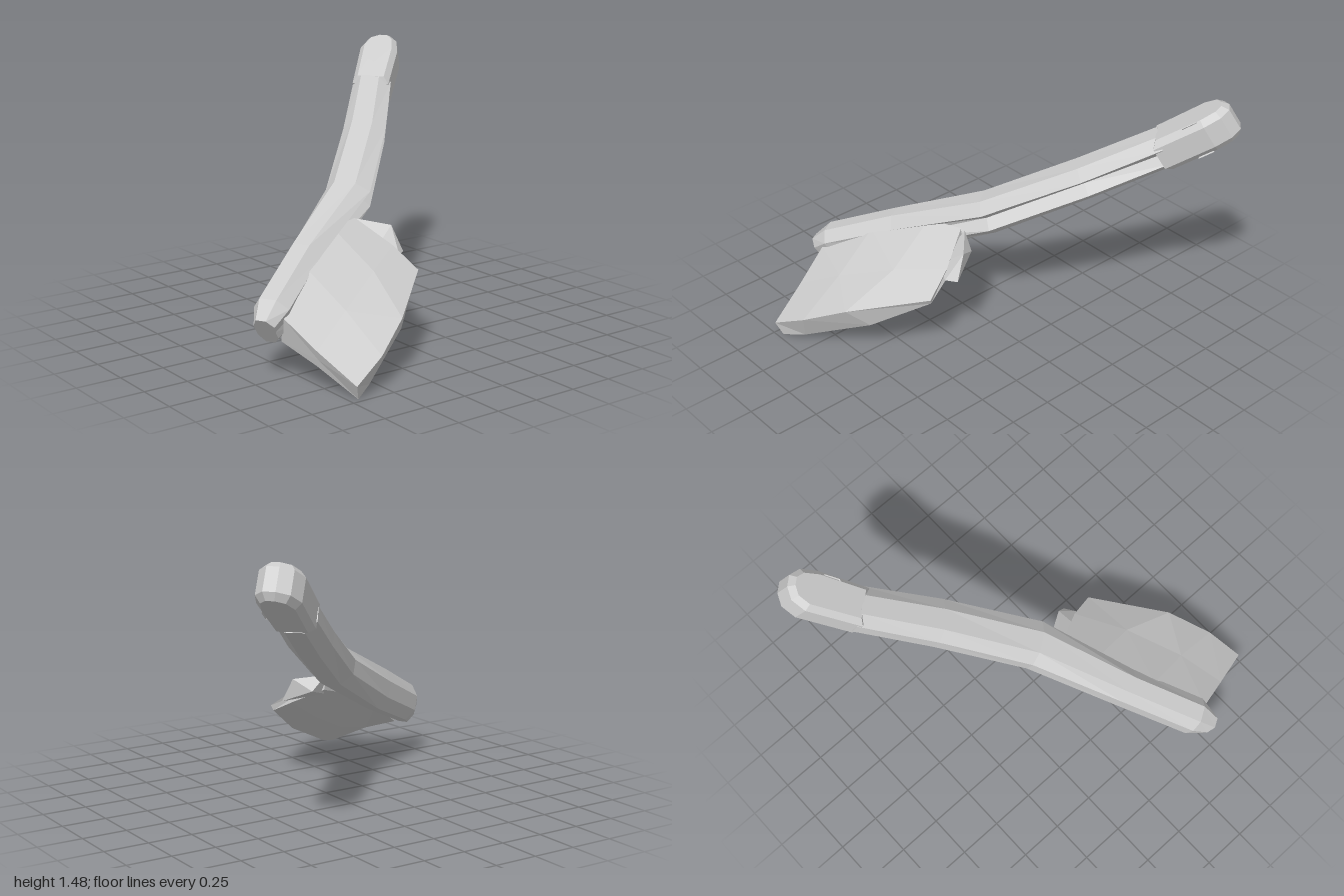
import * as THREE from 'three';
import { ConvexGeometry } from 'three/addons/geometries/ConvexGeometry.js';

const material = new THREE.MeshStandardMaterial({ color: 0xcccccc, flatShading: true, side: THREE.DoubleSide });
const V = (a) => new THREE.Vector3(...a);

// Skin between equal-length closed rings, with a fan cap at each end
function loft(rings) {
  const pos = [];
  const tri = (...pts) => pts.forEach((p) => pos.push(p.x, p.y, p.z));
  const n = rings[0].length;
  for (let i = 0; i < rings.length - 1; i++) {
    for (let k = 0; k < n; k++) {
      const j = (k + 1) % n;
      const a = rings[i][k], b = rings[i][j], c = rings[i + 1][j], d = rings[i + 1][k];
      tri(a, b, c);
      tri(a, c, d);
    }
  }
  const cap = (ring, flip) => {
    const mid = new THREE.Vector3();
    ring.forEach((p) => mid.addScaledVector(p, 1 / n));
    ring.forEach((p, k) => (flip ? tri(mid, ring[(k + 1) % n], p) : tri(mid, p, ring[(k + 1) % n])));
  };
  cap(rings[0], true);
  cap(rings[rings.length - 1], false);
  const g = new THREE.BufferGeometry();
  g.setAttribute('position', new THREE.Float32BufferAttribute(pos, 3));
  g.computeVertexNormals();
  return g;
}

// Sideways and upward axes for a given run direction
function frame(d) {
  const u = new THREE.Vector3().crossVectors(d, new THREE.Vector3(0, 1, 0)).normalize();
  return { d, u, v: new THREE.Vector3().crossVectors(u, d).normalize() };
}

export function createModel() {
  const model = new THREE.Group();
  const add = (name, geometry) => {
    const mesh = new THREE.Mesh(geometry, material);
    mesh.name = name;
    model.add(mesh);
    return mesh;
  };

  // Handle and spine: centre, half width, half height, groove depth
  const stations = [
    [[-0.93, 0.27, 0.50], 0.06, 0.09, 0.9],
    [[-0.86, 0.33, 0.46], 0.10, 0.11, 0.9],
    [[-0.50, 0.50, 0.24], 0.10, 0.12, 0.8],
    [[-0.03, 0.735, -0.02], 0.13, 0.105, 0.5],
    [[0.35, 0.985, -0.38], 0.125, 0.10, 0.45],
    [[0.64, 1.19, -0.69], 0.115, 0.10, 0.6],
  ];
  const centres = stations.map((s) => V(s[0]));
  const last = centres.length - 1;
  const rings = stations.map(([, hu, hv, groove], i) => {
    const dir = centres[Math.min(i + 1, last)].clone().sub(centres[Math.max(i - 1, 0)]).normalize();
    const { u, v } = frame(dir);
    const profile = [[-0.55, 1], [0.4, 1], [1, 0.5], [groove, 0.05], [0.9, -0.5], [0.4, -1], [-0.5, -1], [-1, -0.4], [-1, 0.4]];
    return profile.map(([a, b]) => centres[i].clone().addScaledVector(u, a * hu).addScaledVector(v, b * hv));
  });
  add('handleAndSpine', loft(rings));

  // Rounded handle end with a hanging hole
  const outline = [[-0.03, -0.11], [0.3, -0.12], [0.385, -0.085], [0.42, -0.02], [0.42, 0.045], [0.37, 0.095], [0.27, 0.115], [-0.03, 0.11]];
  const shape = new THREE.Shape(outline.map((p) => new THREE.Vector2(...p)));
  const hole = [];
  for (let i = 0; i < 6; i++) {
    const t = (-i * Math.PI) / 3;
    hole.push(new THREE.Vector2(0.2 + 0.055 * Math.cos(t), 0.025 + 0.045 * Math.sin(t)));
  }
  shape.holes.push(new THREE.Path(hole));
  const endGeometry = new THREE.ExtrudeGeometry(shape, {
    depth: 0.13, bevelEnabled: true, bevelSegments: 1, bevelThickness: 0.035, bevelSize: 0.03, bevelOffset: -0.03,
  });
  endGeometry.translate(0, 0, -0.065);
  const f = frame(new THREE.Vector3(0.64, 0.53, -0.56).normalize());
  const basis = new THREE.Matrix4().makeBasis(f.d, f.u, f.v.clone().negate()).setPosition(centres[last]);
  endGeometry.applyMatrix4(basis);
  add('handleEnd', endGeometry);

  // Blade: top at spine, top middle, top edge, lower edge, lower middle, lower at spine
  const blade = [
    [[-0.86, 0.34, 0.55], [-0.80, 0.21, 0.76], [-0.73, 0.08, 1.0], [-0.70, 0.0, 0.97], [-0.78, 0.12, 0.73], [-0.84, 0.2, 0.5]],
    [[-0.60, 0.52, 0.38], [-0.55, 0.35, 0.66], [-0.53, 0.18, 0.94], [-0.58, 0.03, 0.9], [-0.55, 0.17, 0.65], [-0.60, 0.36, 0.36]],
    [[-0.30, 0.65, 0.20], [-0.25, 0.47, 0.50], [-0.30, 0.30, 0.81], [-0.22, 0.2, 0.70], [-0.25, 0.31, 0.48], [-0.30, 0.5, 0.2]],
    [[-0.10, 0.66, 0.13], [0.01, 0.53, 0.33], [0.06, 0.42, 0.49], [0.05, 0.39, 0.48], [0.01, 0.46, 0.34], [-0.08, 0.56, 0.14]],
  ];
  add('blade', loft(blade.map((ring) => ring.map(V))));

  // Small tab at the heel of the blade
  const tab = [[-0.08, 0.65, 0.12], [0.06, 0.62, 0.25], [0.09, 0.48, 0.32], [0.03, 0.48, 0.36], [-0.1, 0.5, 0.3], [-0.1, 0.53, 0.17], [0.0, 0.56, 0.14]];
  add('heelTab', new ConvexGeometry(tab.map(V)));

  return model;
}
